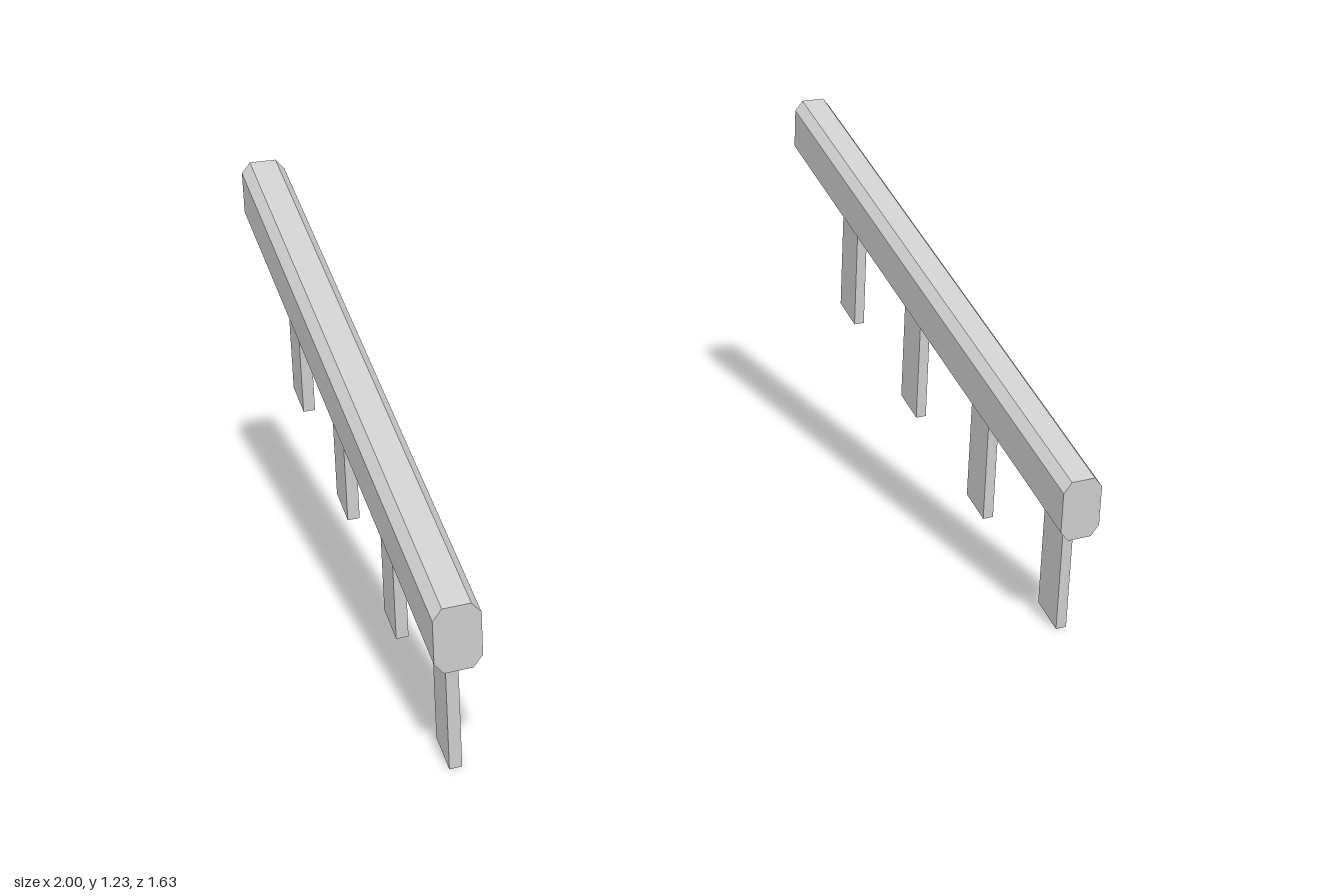
import * as THREE from 'three';

const SLOPE = 0.454; // rise per unit towards the back
const LENGTH = 1.63;
const RAIL_X = 0.935;

// Tilt a geometry by shearing it, so end faces stay vertical
function shear(geometry) {
  const p = geometry.attributes.position;
  for (let i = 0; i < p.count; i++) p.setY(i, p.getY(i) - SLOPE * p.getZ(i));
  geometry.computeVertexNormals();
  return geometry;
}

// Chamfered bar running along z
function railGeometry() {
  const w = 0.065, h = 0.09, cx = 0.026, cy = 0.03;
  const section = new THREE.Shape([
    [-w + cx, -h], [w - cx, -h], [w, -h + cy], [w, h - cy],
    [w - cx, h], [-w + cx, h], [-w, h - cy], [-w, -h + cy],
  ].map(([x, y]) => new THREE.Vector2(x, y)));
  const g = new THREE.ExtrudeGeometry(section, { depth: LENGTH, bevelEnabled: false });
  g.translate(0, 0.77, -LENGTH / 2);
  return shear(g);
}

// Flat post with ends parallel to the rail
function postGeometry(z) {
  const g = new THREE.BoxGeometry(0.035, 0.338, 0.096);
  g.translate(0, 0.514, z);
  return shear(g);
}

export function createModel() {
  const model = new THREE.Group();
  model.name = 'stairHandrails';
  const material = new THREE.MeshStandardMaterial({ color: 0xcccccc, flatShading: true });

  for (const [side, sign] of [['left', 1], ['right', -1]]) {
    const handrail = new THREE.Group();
    handrail.name = side + 'Handrail';
    handrail.position.x = sign * RAIL_X;

    const rail = new THREE.Mesh(railGeometry(), material);
    rail.name = side + 'Rail';
    handrail.add(rail);

    // Four evenly spaced posts
    for (let i = 0; i < 4; i++) {
      const post = new THREE.Mesh(postGeometry(0.712 - i * 0.4067), material);
      post.name = side + 'Post' + (i + 1);
      handrail.add(post);
    }
    model.add(handrail);
  }
  return model;
}
